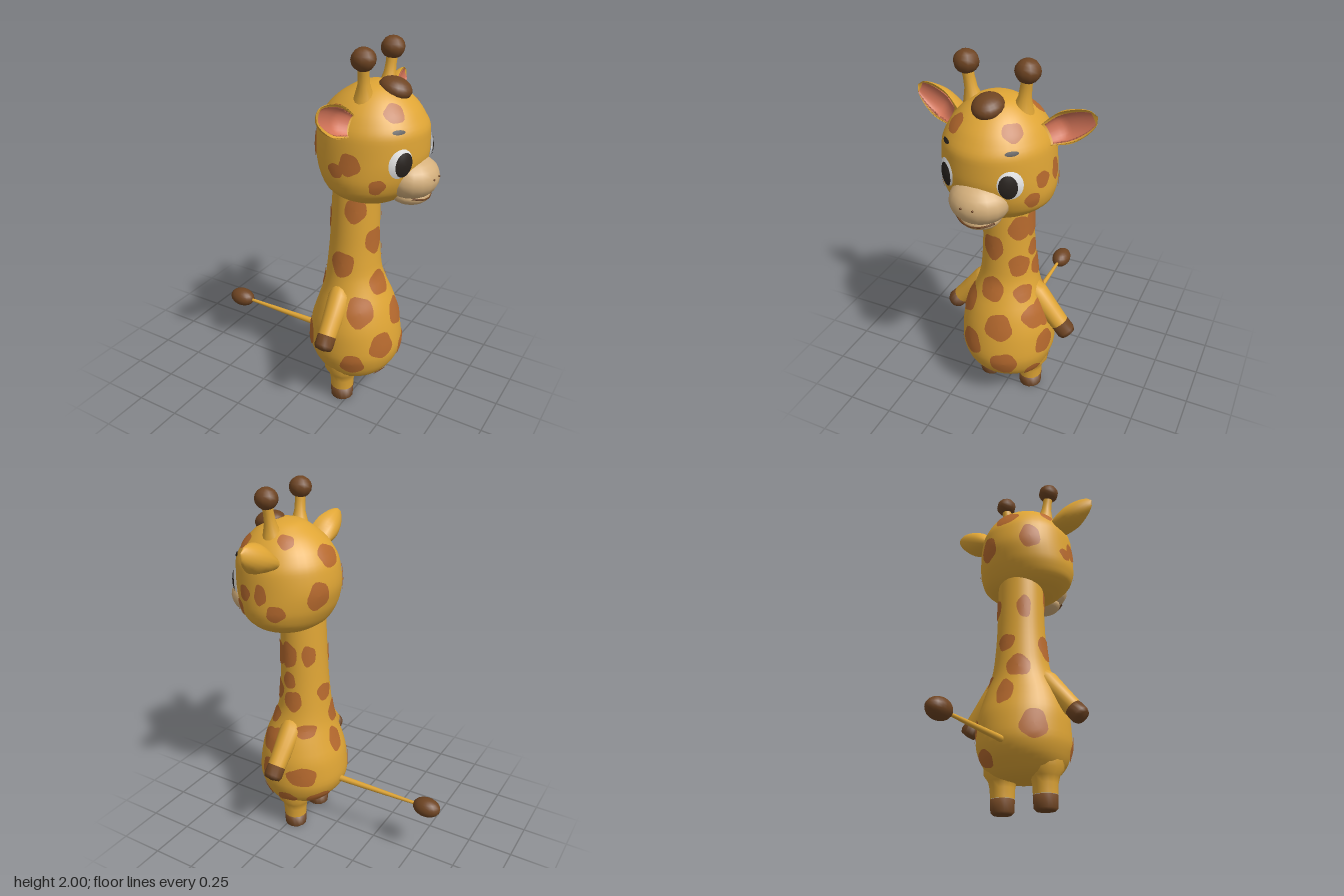
import * as THREE from 'three';

const mat = (name, color, side = THREE.FrontSide) =>
  Object.assign(new THREE.MeshStandardMaterial({ color, side }), { name });
const V = (x, y, z) => new THREE.Vector3(x, y, z);
const TAU = Math.PI * 2;

// Cross-sections: [y, back x, front x, half width in z]
const BODY = [
  [0.155, 0.22, 0.22, 0], [0.16, 0.15, 0.33, 0.1], [0.18, 0.09, 0.385, 0.165], [0.22, 0.04, 0.43, 0.212],
  [0.28, -0.01, 0.465, 0.24], [0.35, -0.03, 0.48, 0.256], [0.47, -0.018, 0.465, 0.252], [0.6, 0.02, 0.43, 0.22],
  [0.7, 0.048, 0.388, 0.177], [0.8, 0.062, 0.352, 0.152], [1.0, 0.078, 0.336, 0.136], [1.3, 0.09, 0.33, 0.13],
];
const HEAD = [
  [1.225, 0.3, 0.3, 0], [1.23, 0.21, 0.4, 0.1], [1.25, 0.15, 0.45, 0.165], [1.28, 0.1, 0.485, 0.22],
  [1.33, 0.062, 0.525, 0.264], [1.4, 0.03, 0.555, 0.278], [1.5, 0.01, 0.574, 0.272], [1.6, 0.022, 0.572, 0.262],
  [1.68, 0.06, 0.535, 0.226], [1.74, 0.115, 0.485, 0.178], [1.785, 0.18, 0.43, 0.125], [1.81, 0.23, 0.38, 0.075],
  [1.82, 0.31, 0.31, 0],
];

// Smooth lookup of a section at height y
function section(table, y) {
  const n = table.length;
  y = Math.min(Math.max(y, table[0][0]), table[n - 1][0]);
  let i = 0;
  while (i < n - 2 && y > table[i + 1][0]) i++;
  const h = table[i + 1][0] - table[i][0], t = (y - table[i][0]) / h;
  const slope = (k, c) => {
    if (k === 0 || k === n - 1) return (table[i + 1][c] - table[i][c]) / h;
    const l = (table[k][c] - table[k - 1][c]) / (table[k][0] - table[k - 1][0]);
    const r = (table[k + 1][c] - table[k][c]) / (table[k + 1][0] - table[k][0]);
    return l * r <= 0 ? 0 : (2 * l * r) / (l + r);
  };
  return [1, 2, 3].map((c) => {
    const a = table[i][c], b = table[i + 1][c], t2 = t * t, t3 = t2 * t;
    return a * (2 * t3 - 3 * t2 + 1) + b * (3 * t2 - 2 * t3) + h * (slope(i, c) * (t3 - 2 * t2 + t) + slope(i + 1, c) * (t3 - t2));
  });
}
function surface(table, a, y) {
  const [b, f, w] = section(table, y);
  return V((b + f) / 2 + ((f - b) / 2) * Math.cos(a), y, w * Math.sin(a));
}

// Closed rings joined in order; fn(u, v) with u around and v along, both 0..1
function loft(fn, nu, nv) {
  const pos = [], idx = [];
  for (let j = 0; j <= nv; j++) for (let i = 0; i < nu; i++) pos.push(...fn(i / nu, j / nv).toArray());
  for (let j = 0; j < nv; j++) for (let i = 0; i < nu; i++) {
    const a = j * nu + i, b = j * nu + ((i + 1) % nu);
    idx.push(a, a + nu, b, b, a + nu, b + nu);
  }
  const g = new THREE.BufferGeometry();
  g.setAttribute('position', new THREE.Float32BufferAttribute(pos, 3));
  g.setIndex(idx);
  g.computeVertexNormals();
  return g;
}
const skin = (table) => {
  const y0 = table[0][0], y1 = table[table.length - 1][0];
  return loft((u, v) => surface(table, u * TAU, y0 + (y1 - y0) * (0.5 - 0.5 * Math.cos(Math.PI * v))), 40, 48);
};

// Thin rounded plate following a skin, centred at angle (degrees) and height
function patch(table, deg, y, ru, rv, lift = 0.005, dome = 0, wobble = 0) {
  const a = (deg * Math.PI) / 180;
  const frame = (a, y) => {
    const t1 = surface(table, a + 0.02, y).sub(surface(table, a - 0.02, y)).normalize();
    const t2 = surface(table, a, y + 0.008).sub(surface(table, a, y - 0.008)).normalize();
    return [t1, t2, t2.clone().cross(t1).normalize()];
  };
  const c = surface(table, a, y), [t1, t2] = frame(a, y);
  return loft((u, v) => {
    const p = -u * TAU;
    const r = v * (1 + wobble * (Math.sin(3 * p + deg) + 0.8 * Math.sin(5 * p + deg * 2 + y * 9)));
    const q = c.clone().addScaledVector(t1, ru * r * Math.cos(p)).addScaledVector(t2, rv * r * Math.sin(p));
    const [b, f, w] = section(table, q.y);
    const qa = Math.atan2(q.z / Math.max(w, 0.01), (q.x - (b + f) / 2) / Math.max((f - b) / 2, 0.01));
    return surface(table, qa, q.y).addScaledVector(frame(qa, q.y)[2], lift + dome * (1 - v * v));
  }, 20, 4);
}

// Spots: [angle, y, half width, half height]; 0 faces +x, 90 faces +z
const BODY_SPOTS = [
  [62, 1.17, 0.06, 0.065], [146, 1.1, 0.04, 0.07], [13, 0.99, 0.064, 0.072], [-48, 1.11, 0.06, 0.07], [-85, 0.97, 0.04, 0.05],
  [225, 1.12, 0.04, 0.06], [275, 1.12, 0.05, 0.075], [88, 0.865, 0.068, 0.072], [-45, 0.89, 0.06, 0.062],
  [188, 0.89, 0.055, 0.05], [265, 0.85, 0.055, 0.06], [9, 0.745, 0.07, 0.07], [160, 0.74, 0.07, 0.065], [-50, 0.73, 0.055, 0.05],
  [55, 0.62, 0.075, 0.085], [-10, 0.555, 0.076, 0.076], [233, 0.68, 0.065, 0.04], [180, 0.59, 0.05, 0.075],
  [-62, 0.6, 0.075, 0.065], [28, 0.42, 0.075, 0.075], [141, 0.4, 0.075, 0.078], [-72, 0.43, 0.065, 0.07],
  [240, 0.42, 0.09, 0.06], [285, 0.6, 0.05, 0.08], [-18, 0.335, 0.075, 0.075], [66, 0.32, 0.065, 0.065],
  [18, 0.215, 0.055, 0.045], [-58, 0.25, 0.05, 0.05], [215, 0.26, 0.075, 0.05], [262, 0.26, 0.06, 0.045],
];
const HEAD_SPOTS = [
  [148, 1.51, 0.06, 0.075], [86, 1.48, 0.055, 0.055], [101, 1.44, 0.045, 0.035], [56, 1.38, 0.04, 0.04],
  [40, 1.71, 0.05, 0.05], [-44, 1.71, 0.05, 0.045], [-56, 1.39, 0.04, 0.042], [-70, 1.48, 0.042, 0.042], [120, 1.69, 0.04, 0.045],
  [181, 1.66, 0.075, 0.06], [205, 1.48, 0.065, 0.075], [250, 1.4, 0.05, 0.045], [238, 1.74, 0.042, 0.042], [268, 1.49, 0.035, 0.055],
];

export function createModel() {
  const root = new THREE.Group();
  root.name = 'giraffe';
  const coat = mat('golden coat', 0xdfa535), spot = mat('spot orange brown', 0xb76a2e);
  const brown = mat('dark brown', 0x6e4422), tan = mat('muzzle tan', 0xd5b07c);
  const pink = mat('ear pink', 0xd6765a, THREE.DoubleSide);
  const white = mat('eye white', 0xeeeeee), black = mat('eye black', 0x29231f);

  const add = (name, geo, material, pos, scale) => {
    const m = new THREE.Mesh(geo, material);
    m.name = name;
    if (pos) m.position.copy(pos);
    if (scale) m.scale.copy(scale);
    root.add(m);
    return m;
  };
  const ball = (name, material, pos, scale) => add(name, new THREE.SphereGeometry(1, 18, 12), material, pos, scale);
  // Turned part from a to b; profile is [radius, fraction of length]
  const limb = (name, material, a, b, profile) => {
    const d = b.clone().sub(a), len = d.length();
    const m = add(name, new THREE.LatheGeometry(profile.map(([r, t]) => new THREE.Vector2(r, t * len)), 14), material, a);
    m.quaternion.setFromUnitVectors(V(0, 1, 0), d.normalize());
  };

  // Body with neck, head, and their spots
  add('bodyAndNeck', skin(BODY), coat);
  add('head', skin(HEAD), coat);
  BODY_SPOTS.forEach((s) => add('bodySpot', patch(BODY, ...s, 0.005, 0, 0.06), spot));
  HEAD_SPOTS.forEach((s) => add('headSpot', patch(HEAD, ...s, 0.005, 0, 0.06), spot));

  // Muzzle and mouth
  ball('muzzle', tan, V(0.51, 1.375, 0), V(0.133, 0.108, 0.147));
  ball('chin', tan, V(0.505, 1.287, 0), V(0.1, 0.052, 0.1));
  const smile = new THREE.CatmullRomCurve3([V(0.56, 1.3, 0.1), V(0.59, 1.285, 0.055), V(0.602, 1.28, 0), V(0.59, 1.285, -0.055), V(0.56, 1.3, -0.1)]);
  add('mouthLine', new THREE.TubeGeometry(smile, 20, 0.005, 6), brown);

  // Tuft on the brow and the tail
  const tuft = ball('headTuft', brown, V(0.4, 1.792, 0), V(0.083, 0.052, 0.074));
  tuft.rotation.z = -0.25;
  limb('tail', coat, V(0.02, 0.33, 0), V(-0.53, 0.334, 0), [[0.03, 0], [0.018, 0.08], [0.014, 0.5], [0.008, 1]]);
  ball('tailTuft', brown, V(-0.57, 0.334, 0), V(0.078, 0.053, 0.056));

  for (const s of [1, -1]) {
    // Eyes and brows
    add('eye', patch(HEAD, s * 36, 1.49, 0.062, 0.072, 0.004, 0.012), white);
    add('pupil', patch(HEAD, s * 33.5, 1.487, 0.043, 0.06, 0.013, 0.008), black);
    add('eyebrow', patch(HEAD, s * 39.5, 1.637, 0.032, 0.011, 0.006), black);
    ball('nostril', brown, V(0.638, 1.39, s * 0.03), V(0.005, 0.005, 0.006));

    // Cupped ears with pink inside
    const ear = (k, lift) => (u, v) => {
      const a = u * TAU * s, t = v;
      const half = 0.048 + 0.03 * Math.sin(Math.min(t / 0.5, 1) * Math.PI / 2);
      const w = half * Math.sqrt(Math.max(0, 1 - Math.pow(Math.max(0, (t - 0.35) / 0.65), 1.8))) * k * Math.cos(a);
      const depth = 0.115 * (1 - t * t), sn = Math.sin(a);
      const rim = 0.305 - 0.06 * t;
      const x = rim - depth * (sn > 0 ? 0.5 * sn * Math.min(1, t * 3) : -sn) + lift;
      return V(x, 1.65 + 0.11 * t + 0.89 * w, s * (0.225 + 0.23 * t - 0.456 * w));
    };
    add('ear', loft(ear(1, 0), 20, 14), coat);
    const inner = ear(0.84, 0.006);
    const sheet = (u, v) => inner((s > 0 ? u : 1 - u) / 2 * s, v);
    // Inner sheet is an open strip across the hollow
    const strip = loft((u, v) => {
      const t = 0.1 + 0.82 * v, q = u < 0.5 ? u * 2 : 2 - u * 2;
      return sheet(s > 0 ? 0.04 + 0.92 * q : 0.96 - 0.92 * q, t);
    }, 20, 12);
    add('innerEar', strip, pink);

    // Horns
    limb('hornStalk', coat, V(0.3, 1.72, s * 0.118), V(0.308, 1.93, s * 0.15), [[0.065, 0], [0.045, 0.25], [0.03, 0.5], [0.027, 0.75], [0.03, 1]]);
    add('hornKnob', new THREE.SphereGeometry(1, 10, 8), brown, V(0.308, 1.944, s * 0.15), V(0.06, 0.056, 0.06));

    // Arms
    const shoulder = V(0.205, 0.7, s * 0.13), wrist = V(0.212, 0.507, s * 0.297), tip = V(0.214, 0.447, s * 0.349);
    limb('arm', coat, shoulder, wrist, [[0, -0.1], [0.05, -0.05], [0.062, 0.15], [0.055, 0.6], [0.05, 1]]);
    limb('handHoof', brown, wrist, tip, [[0, 0], [0.05, 0], [0.051, 0.7], [0.042, 0.95], [0, 1.05]]);

    // Legs
    limb('leg', coat, V(0.213, 0.08, s * 0.125), V(0.213, 0.26, s * 0.125), [[0.064, 0], [0.067, 0.3], [0.075, 0.5], [0.1, 0.7], [0.1, 1]]);
    limb('footHoof', brown, V(0.213, 0, s * 0.125), V(0.213, 0.082, s * 0.125), [[0, 0], [0.05, 0], [0.062, 0.14], [0.065, 0.95], [0, 1]]);
  }
  return root;
}
